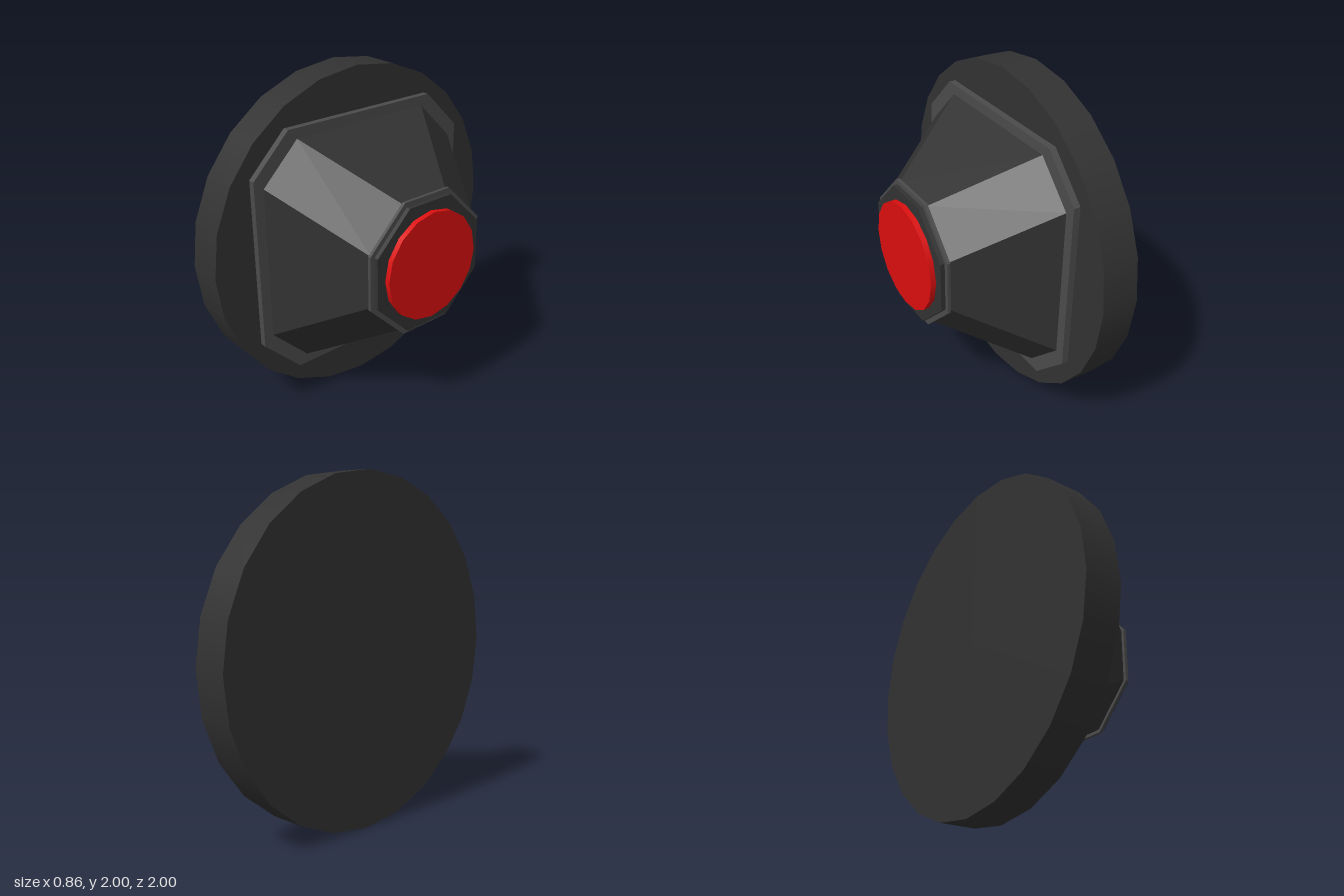
import * as THREE from 'three';

// Eight corners (y, z) of a square with cut corners, counterclockwise seen from +x
function chamferedSquare(half, flat) {
  const pts = [];
  for (let q = 0; q < 4; q++) {
    const c = Math.round(Math.cos(q * Math.PI / 2)), s = Math.round(Math.sin(q * Math.PI / 2));
    for (const t of [-flat, flat]) pts.push([c * half - s * t, s * half + c * t]);
  }
  return pts;
}

// Solid between two chamfered squares at x0 and x1, with flat faces
function loft(x0, half0, flat0, x1, half1, flat1) {
  const a = chamferedSquare(half0, flat0).map(p => [x0, ...p]);
  const b = chamferedSquare(half1, flat1).map(p => [x1, ...p]);
  const pos = [];
  const tri = (...corners) => corners.forEach(p => pos.push(...p));
  for (let i = 0; i < 8; i++) {
    const j = (i + 1) % 8;
    tri(a[i], a[j], b[j]);
    tri(a[i], b[j], b[i]);
    tri([x1, 0, 0], b[i], b[j]);
    tri([x0, 0, 0], a[j], a[i]);
  }
  const geo = new THREE.BufferGeometry();
  geo.setAttribute('position', new THREE.Float32BufferAttribute(pos, 3));
  geo.computeVertexNormals();
  return geo;
}

// Round plate with its axis along x
function disc(x0, x1, radius, sides) {
  return new THREE.CylinderGeometry(radius, radius, x1 - x0, sides)
    .rotateZ(-Math.PI / 2)
    .translate((x0 + x1) / 2, 0, 0);
}

export function createModel() {
  const material = (name, color) => {
    const m = new THREE.MeshStandardMaterial({ color });
    m.name = name;
    return m;
  };
  const dark = material('dark grey', 0x323232);
  const light = material('mid grey', 0x4b4b4b);
  const red = material('red', 0xdc0f0f);

  const group = new THREE.Group();
  const add = (name, geo, mat) => {
    const mesh = new THREE.Mesh(geo, mat);
    mesh.name = name;
    mesh.position.y = 1;
    group.add(mesh);
  };

  // Round base and the trim plate on it
  add('baseDisc', disc(-0.43, -0.21, 1, 24), dark);
  add('baseTrim', loft(-0.21, 0.745, 0.51, -0.17, 0.745, 0.51), light);

  // Tapering housing
  add('housing', loft(-0.17, 0.685, 0.455, 0.355, 0.385, 0.155), dark);

  // Collar, cap and button at the narrow end
  add('collar', loft(0.353, 0.405, 0.163, 0.372, 0.405, 0.163), light);
  add('cap', loft(0.372, 0.377, 0.152, 0.398, 0.377, 0.152), dark);
  add('button', disc(0.398, 0.43, 0.325, 16), red);

  return group;
}
